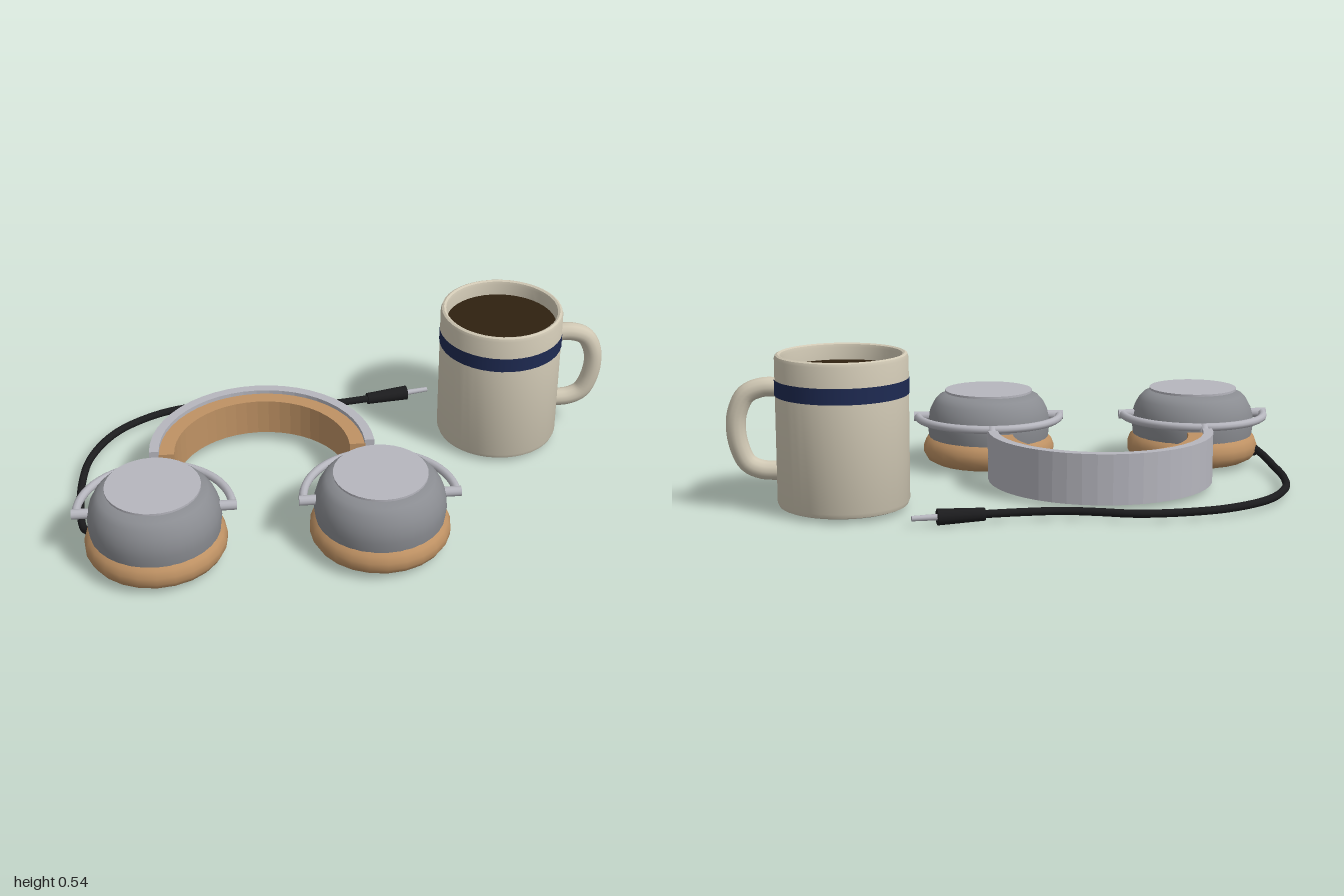
import * as THREE from 'three';
import { toCreasedNormals } from 'three/addons/utils/BufferGeometryUtils.js';

const mat = (name, color) => new THREE.MeshStandardMaterial({ name, color });
const V = (x, y, z) => new THREE.Vector3(x, y, z);

export function createModel() {
  const cream = mat('cream ceramic', 0xd0c8b4);
  const navy = mat('navy glaze', 0x1e2a52);
  const coffee = mat('coffee', 0x2f2110);
  const shellGrey = mat('grey shell', 0x8a8c91);
  const metal = mat('light metal', 0xb6b6be);
  const tan = mat('tan leather', 0xbf9264);
  const black = mat('black rubber', 0x1c1c1e);

  const model = new THREE.Group();
  model.name = 'headphonesAndMug';

  const add = (parent, name, geometry, material, x = 0, y = 0, z = 0) => {
    const mesh = new THREE.Mesh(geometry, material);
    mesh.name = name;
    mesh.position.set(x, y, z);
    parent.add(mesh);
    return mesh;
  };
  const group = (name, x, z) => {
    const g = new THREE.Group();
    g.name = name;
    g.position.set(x, 0, z);
    model.add(g);
    return g;
  };
  const lathe = (points, sides) => toCreasedNormals(
    new THREE.LatheGeometry(points.map(([r, y]) => new THREE.Vector2(r, y)), sides), 0.7);
  // Capped rod between two points
  const rod = (parent, name, a, b, r1, r2, material, sides = 12) => {
    const mesh = add(parent, name, new THREE.CylinderGeometry(r2, r1, a.distanceTo(b), sides), material);
    mesh.position.copy(a).add(b).multiplyScalar(0.5);
    mesh.quaternion.setFromUnitVectors(V(0, 1, 0), b.clone().sub(a).normalize());
  };
  const tube = (points, radius, steps, sides) =>
    new THREE.TubeGeometry(new THREE.CatmullRomCurve3(points), steps, radius, sides);

  // Mug
  const mug = group('mug', 0.602, -0.312);
  add(mug, 'mugBody', lathe([
    [0, 0.015], [0.21, 0.015], [0.222, 0.02], [0.228, 0.035], [0.228, 0.53], [0.224, 0.541],
    [0.216, 0.545], [0.208, 0.541], [0.205, 0.53], [0.205, 0.46], [0, 0.46],
  ], 40), cream);
  add(mug, 'mugStripe', new THREE.CylinderGeometry(0.23, 0.23, 0.055, 40, 1, true), navy, 0, 0.433, 0);
  add(mug, 'coffee', new THREE.CylinderGeometry(0.2055, 0.2055, 0.01, 40), coffee, 0, 0.482, 0);
  add(mug, 'mugHandle', tube([
    V(0.205, 0.428, 0), V(0.27, 0.428, 0), V(0.325, 0.405, 0), V(0.355, 0.35, 0), V(0.363, 0.29, 0),
    V(0.352, 0.22, 0), V(0.325, 0.165, 0), V(0.28, 0.142, 0), V(0.205, 0.137, 0),
  ], 0.034, 36, 12), cream);

  // Headband: half rings lying on their edge
  const band = group('headband', -0.32, 0);
  const halfRing = (outer, inner, height) => {
    const shape = new THREE.Shape();
    shape.absarc(0, 0, outer, 0, Math.PI, false);
    shape.absarc(0, 0, inner, Math.PI, 0, true);
    shape.closePath();
    return new THREE.ExtrudeGeometry(shape, { depth: height, bevelEnabled: false, curveSegments: 12 })
      .rotateX(-Math.PI / 2);
  };
  add(band, 'bandOuter', halfRing(0.41, 0.375, 0.18), metal, 0, 0.02, 0);
  add(band, 'bandPadding', halfRing(0.377, 0.32, 0.14), tan, 0, 0.045, 0);

  // Ear cups
  const cushionGeo = lathe([
    [0, 0.019], [0.17, 0.019], [0.18, 0.015], [0.21, 0.018], [0.236, 0.032], [0.249, 0.055],
    [0.249, 0.08], [0.24, 0.104], [0.225, 0.118], [0, 0.118],
  ], 24);
  const shellGeo = lathe([
    [0, 0.115], [0.228, 0.115], [0.233, 0.155], [0.231, 0.19], [0.222, 0.222], [0.207, 0.25],
    [0.19, 0.269], [0.165, 0.277], [0.14, 0.281], [0, 0.281],
  ], 32);
  const yokeGeo = new THREE.TorusGeometry(0.27, 0.015, 10, 28, Math.PI).rotateX(-Math.PI / 2);
  for (const side of [1, -1]) {
    const cup = group(side > 0 ? 'leftEarCup' : 'rightEarCup', -0.32 + side * 0.393, 0.335);
    add(cup, 'earCushion', cushionGeo, tan);
    add(cup, 'cupShell', shellGeo, shellGrey);
    add(cup, 'cupCap', new THREE.CylinderGeometry(0.166, 0.166, 0.008, 32), metal, 0, 0.289, 0);
    add(cup, 'yoke', yokeGeo, metal, 0, 0.19, 0);
    for (const s of [1, -1]) {
      rod(cup, 'yokePivot', V(s * 0.21, 0.19, 0), V(s * 0.285, 0.19, 0), 0.018, 0.018, metal);
    }
    rod(cup, 'yokeStem', V(0, 0.195, -0.265), V(0, 0.1, -0.352), 0.018, 0.018, metal);
  }

  // Cable and plug
  const cable = group('cable', 0, 0);
  add(cable, 'cord', tube([
    V(-0.93, 0.075, 0.285), V(-0.965, 0.05, 0.24), V(-0.985, 0.032, 0.12), V(-0.985, 0.03, -0.08),
    V(-0.955, 0.03, -0.24), V(-0.86, 0.03, -0.4), V(-0.7, 0.03, -0.51), V(-0.53, 0.03, -0.555),
    V(-0.38, 0.03, -0.562), V(-0.25, 0.03, -0.53), V(-0.14, 0.03, -0.51), V(0, 0.03, -0.518),
    V(0.13, 0.03, -0.537),
  ], 0.014, 90, 10), black);
  rod(cable, 'cordRelief', V(-0.95, 0.05, 0.255), V(-0.91, 0.09, 0.31), 0.018, 0.022, black);
  rod(cable, 'plugBody', V(0.125, 0.03, -0.537), V(0.285, 0.03, -0.566), 0.022, 0.028, black);
  rod(cable, 'plugTip', V(0.28, 0.03, -0.565), V(0.37, 0.03, -0.582), 0.011, 0.009, metal);

  return model;
}
